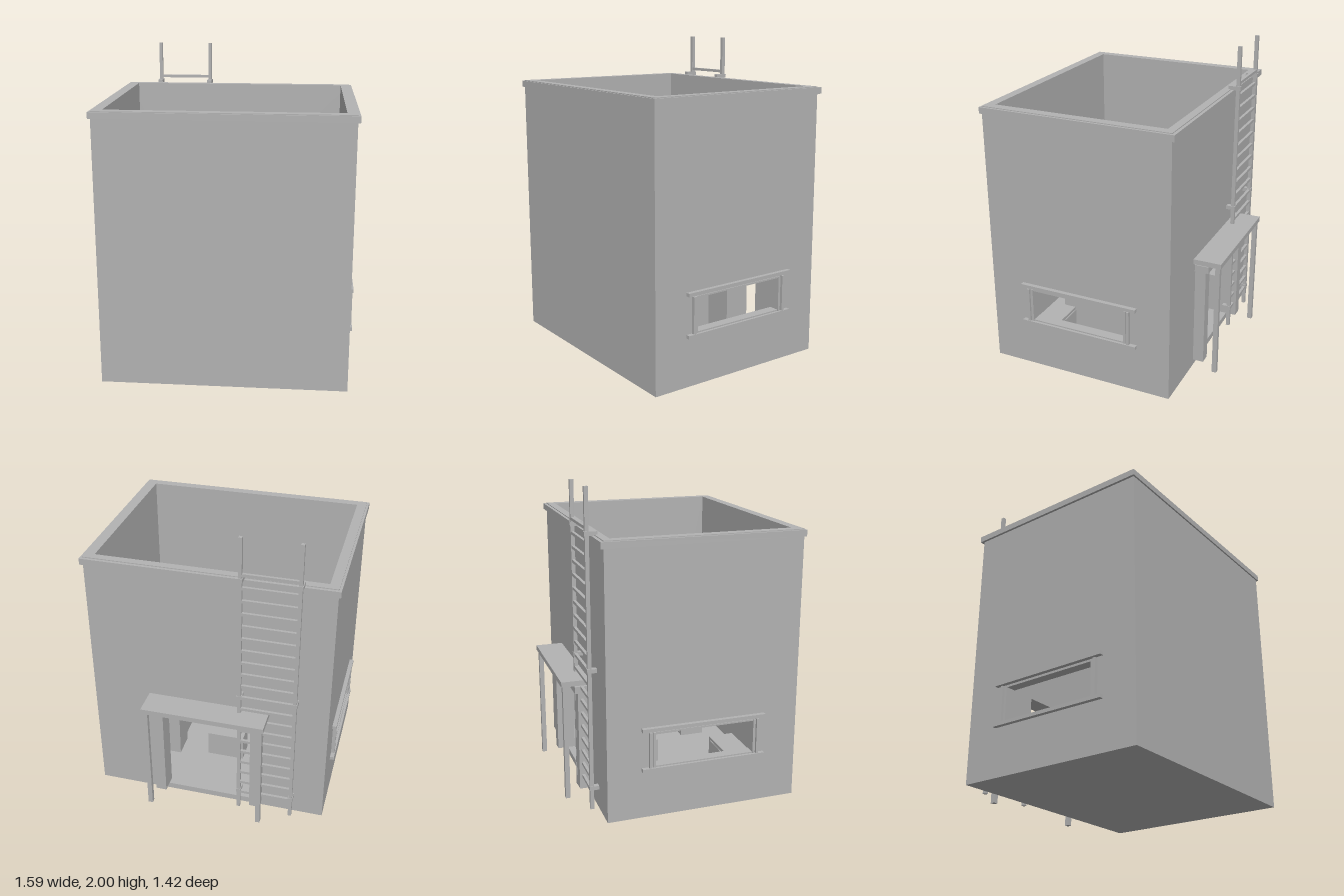
import * as THREE from 'three';

export function createModel() {
  const root = new THREE.Group();
  root.name = 'watchPost';
  const grey = new THREE.MeshStandardMaterial({ color: 0xb2b2b2 });
  grey.name = 'concrete grey';

  const group = (name) => {
    const g = new THREE.Group();
    g.name = name;
    root.add(g);
    return g;
  };
  // Box given by its lower and upper limits on each axis
  const box = (name, [x0, x1], [y0, y1], [z0, z1], parent = root) => {
    const m = new THREE.Mesh(new THREE.BoxGeometry(x1 - x0, y1 - y0, z1 - z0), grey);
    m.position.set((x0 + x1) / 2, (y0 + y1) / 2, (z0 + z1) / 2);
    m.name = name;
    parent.add(m);
    return m;
  };
  const trace = (path, a0, a1, b0, b1) => {
    path.moveTo(a0, b0);
    path.lineTo(a1, b0);
    path.lineTo(a1, b1);
    path.lineTo(a0, b1);
    path.closePath();
    return path;
  };
  // Rectangular plate with a rectangular hole
  const plate = (outer, hole, depth) => {
    const s = trace(new THREE.Shape(), ...outer);
    s.holes.push(trace(new THREE.Path(), ...hole));
    return new THREE.ExtrudeGeometry(s, { depth, bevelEnabled: false });
  };
  const add = (name, geometry, parent = root) => {
    const m = new THREE.Mesh(geometry, grey);
    m.name = name;
    parent.add(m);
    return m;
  };

  // Floor and walls; the top is open
  const H = 1.725;
  const shell = group('shell');
  box('floor', [-0.77, 0.77], [0, 0.02], [-0.53, 0.7], shell);
  box('frontWall', [-0.77, 0.77], [0, H], [0.64, 0.7], shell);
  const back = add('backWall', plate([-0.77, 0.77, 0, H], [-0.29, 0.29, 0.04, 0.69], 0.05), shell);
  back.position.z = -0.53;
  for (const [name, x] of [['leftWall', 0.71], ['rightWall', -0.77]]) {
    // Shape axes are (-z, y); the turn sends depth to +x
    const g = plate([-0.64, 0.48, 0, H], [-0.415, 0.235, 0.335, 0.55], 0.06);
    g.rotateY(Math.PI / 2);
    add(name, g, shell).position.x = x;
  }

  // Band around the top edge
  const band = plate([-0.785, 0.785, -0.71, 0.55], [-0.74, 0.74, -0.67, 0.505], 0.04);
  band.rotateX(-Math.PI / 2);
  add('parapetBand', band).position.y = 1.68;

  // Window frames on both sides
  for (const s of [1, -1]) {
    const frame = group(s > 0 ? 'leftWindowFrame' : 'rightWindowFrame');
    const xs = (a, b) => (s > 0 ? [a, b] : [-b, -a]);
    for (const y of [0.308, 0.566])
      box('windowRail', xs(0.765, 0.797), [y, y + 0.022], [-0.315, 0.48], frame);
    for (const z of [-0.27, 0.425])
      box('windowPost', xs(0.765, 0.793), [0.33, 0.558], [z, z + 0.016], frame);
    for (const z of [-0.245, 0.405])
      box('windowLining', xs(0.72, 0.785), [0.33, 0.555], [z, z + 0.016], frame);
    box('windowHead', xs(0.72, 0.78), [0.546, 0.556], [-0.24, 0.42], frame);
    box('windowSill', xs(0.72, 0.78), [0.328, 0.338], [-0.24, 0.42], frame);
  }

  // Doorway with canopy
  const door = group('doorway');
  box('canopy', [-0.395, 0.395], [0.757, 0.79], [-0.71, -0.53], door);
  box('lintel', [-0.37, 0.37], [0.695, 0.74], [-0.62, -0.53], door);
  for (const s of [1, -1]) {
    const xs = (a, b) => (s > 0 ? [a, b] : [-b, -a]);
    box('doorJamb', xs(0.29, 0.36), [0.04, 0.7], [-0.6, -0.53], door);
    box('canopyPost', xs(0.355, 0.385), [0, 0.76], [-0.7, -0.67], door);
  }

  // Ladder up the back wall
  const ladder = group('ladder');
  for (const x of [-0.562, -0.212]) {
    box('ladderRail', [x - 0.011, x + 0.011], [0, 2], [-0.586, -0.562], ladder);
    for (const y of [0.13, 0.895])
      box('wallBracket', [x - 0.016, x + 0.016], [y, y + 0.025], [-0.59, -0.53], ladder);
    box('topBracket', [x - 0.016, x + 0.016], [1.72, 1.745], [-0.592, -0.513], ladder);
  }
  for (let i = 0; i < 20; i++) {
    const y = 1.765 - i * 0.086;
    box('rung', [-0.562, -0.212], [y - 0.009, y + 0.009], [-0.584, -0.566], ladder);
  }

  // Furniture inside
  const inside = group('furniture');
  box('desk', [-0.71, -0.33], [0.02, 0.3], [-0.48, -0.33], inside);
  box('deskBox', [-0.635, -0.52], [0.3, 0.36], [-0.443, -0.41], inside);
  box('deskPlate', [-0.64, -0.52], [0.3, 0.33], [-0.39, -0.377], inside);
  box('stool', [-0.13, 0.125], [0.02, 0.2], [-0.135, 0.005], inside);
  box('cabinet', [0.32, 0.535], [0.02, 0.475], [-0.185, -0.02], inside);
  box('partition', [0.343, 0.385], [0.02, 0.5], [0.01, 0.405], inside);
  for (const x of [-0.43, 0.43]) {
    box('bench', [x - 0.16, x + 0.16], [0.02, 0.24], [0.325, 0.492], inside);
    box('benchEdge', [x - 0.135, x + 0.135], [0.04, 0.22], [0.32, 0.33], inside);
  }
  return root;
}
